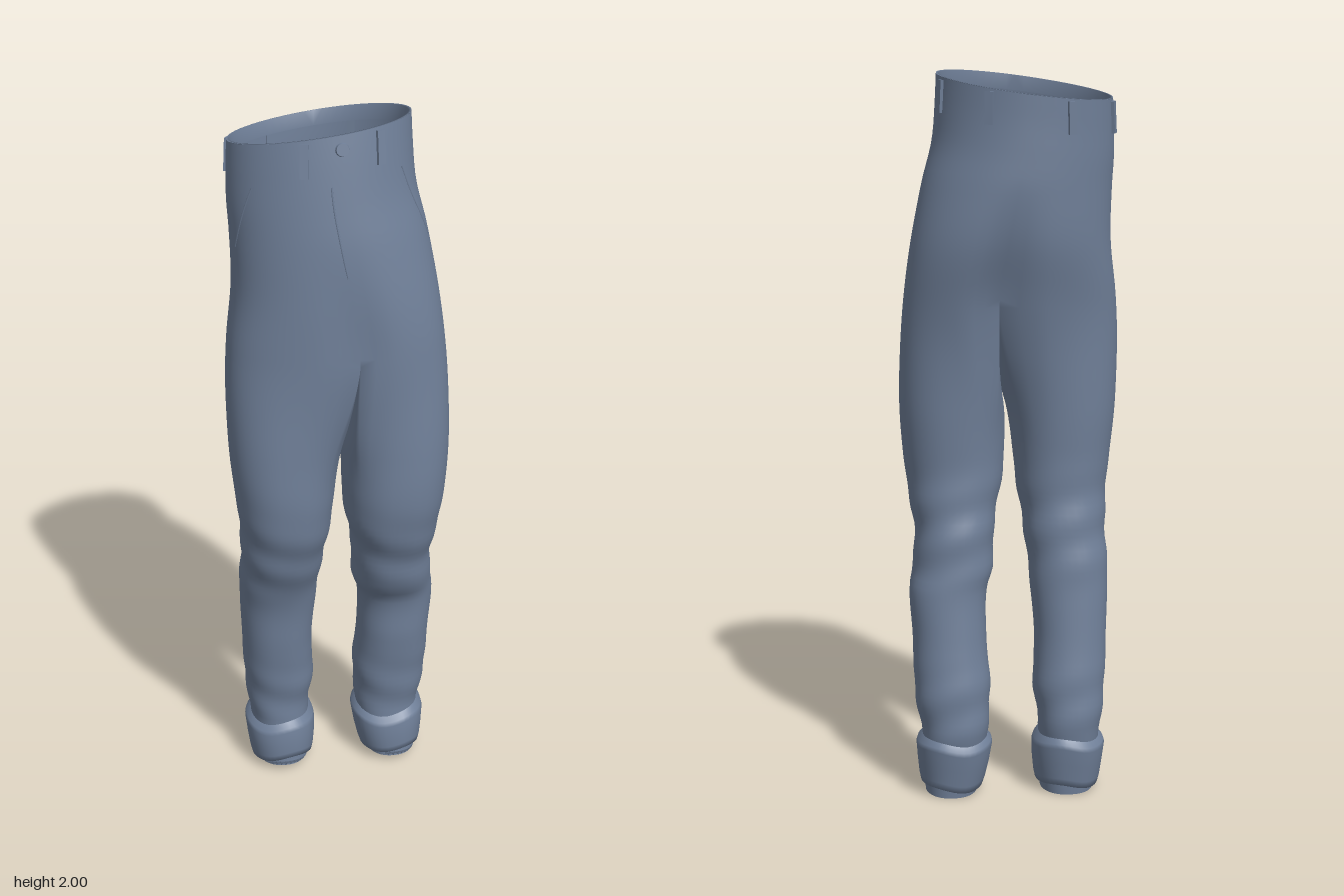
import * as THREE from 'three';
import { mergeVertices } from 'three/addons/utils/BufferGeometryUtils.js';

const cloth = new THREE.MeshStandardMaterial({ color: 0x708099, side: THREE.DoubleSide });
const { smoothstep, lerp } = THREE.MathUtils;
const ARC = 30, INNER = 12, CROTCH = 1.4;

// Smooth lookup in a table of [y, ...values], y rising
function table(rows) {
  const stride = rows[0].length - 1;
  const ip = new THREE.CubicInterpolant(rows.map(r => r[0]), rows.flatMap(r => r.slice(1)), stride, new Float32Array(stride));
  return y => Array.from(ip.evaluate(y));
}

// y, right edge, left edge, back, front, centre seam x
const hip = table([
  [0.90, -0.280, 0.285, -0.095, 0.205, 0.000],
  [1.10, -0.300, 0.300, -0.110, 0.213, 0.005],
  [1.25, -0.304, 0.297, -0.130, 0.215, 0.025],
  [1.40, -0.295, 0.285, -0.160, 0.215, 0.035],
  [1.55, -0.277, 0.265, -0.195, 0.212, 0.015],
  [1.70, -0.278, 0.235, -0.205, 0.200, -0.010],
  [1.80, -0.282, 0.208, -0.206, 0.185, -0.025],
  [1.90, -0.280, 0.199, -0.207, 0.168, -0.030],
  [1.97, -0.276, 0.196, -0.210, 0.155, -0.030],
]);

// y, outer |x|, inner |x|, back, front
const legs = {
  '1': table([
    [0.00, 0.240, 0.095, -0.125, 0.065],
    [0.10, 0.245, 0.075, -0.135, 0.060],
    [0.18, 0.250, 0.065, -0.150, 0.055],
    [0.30, 0.268, 0.057, -0.150, 0.066],
    [0.45, 0.272, 0.066, -0.133, 0.086],
    [0.60, 0.278, 0.060, -0.120, 0.102],
    [0.635, 0.270, 0.046, -0.118, 0.125],
    [0.75, 0.264, 0.042, -0.110, 0.160],
    [0.90, 0.285, 0.014, -0.095, 0.203],
    [1.10, 0.300, 0.010, -0.110, 0.213],
    [1.40, 0.285, 0.036, -0.160, 0.215],
  ]),
  '-1': table([
    [0.00, 0.235, 0.085, -0.125, 0.065],
    [0.10, 0.245, 0.080, -0.135, 0.060],
    [0.18, 0.252, 0.080, -0.150, 0.055],
    [0.30, 0.265, 0.066, -0.150, 0.066],
    [0.45, 0.271, 0.070, -0.133, 0.086],
    [0.60, 0.276, 0.058, -0.120, 0.106],
    [0.68, 0.275, 0.052, -0.115, 0.135],
    [0.80, 0.272, 0.035, -0.100, 0.180],
    [0.90, 0.281, 0.022, -0.095, 0.205],
    [1.10, 0.300, 0.002, -0.110, 0.213],
    [1.40, 0.295, -0.034, -0.160, 0.215],
  ]),
};

// Point on one half of the hips; t runs 0 (front centre) to PI (back centre)
function hipPoint(side, t, y, inset = 0) {
  const [x0, x1, zb, zf, seam] = hip(y);
  const p = lerp(0.82, 1, smoothstep(y, 1.4, 1.9));
  const rx = (side > 0 ? x1 - seam : seam - x0) - inset, rz = (zf - zb) / 2 - inset;
  const sx = Math.pow(Math.max(0, Math.sin(t)), p), c = Math.cos(t);
  const x = seam + side * rx * sx;
  // Dip along the centre seam, deeper at the back
  const dent = (c < 0 ? 0.2 : 0.08) * (1 - smoothstep(y, 1.35, 1.72)) * Math.exp(-(((x - seam) / 0.06) ** 2));
  const z = (zf + zb) / 2 + rz * Math.sign(c) * Math.pow(Math.abs(c), p) * (1 - dent);
  const tilt = 0.13 * (x + z) * smoothstep(y, 1.6, 1.97);
  return new THREE.Vector3(x, y + tilt, z);
}

// Closed leg section, blending from half a hip to a rounded tube; grow widens it
function legRing(side, y, grow = 0) {
  const [out, inn, zb, zf] = legs[side](y);
  const round = smoothstep(1.4 - y, 0, 0.42), pts = [];
  const fold = smoothstep(y, 0.12, 0.22) * (1 - smoothstep(y, 0.25, 0.42))
    + Math.exp(-(((y - 0.76) / 0.12) ** 2));
  const front = hipPoint(side, 0, Math.max(y, 0.9)), back = hipPoint(side, Math.PI, Math.max(y, 0.9));
  for (let j = 0; j <= ARC + INNER; j++) {
    const inner = j > ARC, s = inner ? (j - ARC) / INNER : j / ARC;
    const a = inner ? -Math.PI * (0.75 + 0.5 * s) : Math.PI * (0.75 - 1.5 * s);
    const k = 1 + 0.03 * fold * Math.sin(45 * y + 2 * Math.sin(a + side) + side);
    const ca = Math.cos(a), sa = Math.sin(a), q = v => Math.sign(v) * Math.pow(Math.abs(v), 0.9);
    const tube = new THREE.Vector3(
      side * ((out + inn) / 2 + ((out - inn) / 2 * k + grow) * q(ca)), y,
      (zf + zb) / 2 + ((zf - zb) / 2 * k + grow) * q(sa));
    const half = inner ? back.clone().lerp(front, s) : hipPoint(side, s * Math.PI, Math.max(y, 0.9));
    half.y = y;
    const v = half.lerp(tube, round);
    if (inner) v.y -= 0.13 * Math.sin(Math.PI * s) * smoothstep(y, 0.95, 1.4);
    pts.push(v);
  }
  return pts;
}

// Skin a list of sections (top to bottom) into the shared position and index lists
function skin(pos, idx, rows, side) {
  const n = rows[0].length, base = pos.length / 3;
  rows.forEach(r => r.forEach(v => pos.push(v.x, v.y, v.z)));
  for (let i = 0; i < rows.length - 1; i++) for (let j = 0; j < n - 1; j++) {
    const a = base + i * n + j, b = a + 1, c = a + n, d = c + 1;
    if (side > 0) idx.push(a, c, b, b, c, d);
    else idx.push(a, b, c, b, d, c);
  }
}

function clothMesh(name, pos, idx) {
  let g = new THREE.BufferGeometry();
  g.setAttribute('position', new THREE.Float32BufferAttribute(pos, 3));
  g.setIndex(idx);
  g = mergeVertices(g, 1e-4);
  g.computeVertexNormals();
  const m = new THREE.Mesh(g, cloth);
  m.name = name;
  return m;
}

const hipRow = (side, y, inset = 0) => Array.from({ length: ARC + 1 }, (_, j) => hipPoint(side, j / ARC * Math.PI, y, inset));

// Stitched line lying on the hips between two [t, y] ends
function seamLine(name, side, from, to) {
  const pts = Array.from({ length: 7 }, (_, i) =>
    hipPoint(side, lerp(from[0], to[0], i / 6), lerp(from[1], to[1], i / 6), 0.001));
  const m = new THREE.Mesh(new THREE.TubeGeometry(new THREE.CatmullRomCurve3(pts), 16, 0.003, 6), cloth);
  m.name = name;
  return m;
}

// Turn a part so its +z points out of the hips at (side, t)
function faceOut(obj, side, t, y) {
  const p = hipPoint(side, t, y), up = hipPoint(side, t, y + 0.03).sub(p).normalize();
  const along = hipPoint(side, t + 0.04, y).sub(hipPoint(side, t - 0.04, y)).multiplyScalar(side).normalize();
  const n = along.clone().cross(up).normalize();
  obj.quaternion.setFromRotationMatrix(new THREE.Matrix4().makeBasis(up.clone().cross(n), up, n));
  obj.position.copy(p).addScaledVector(n, 0.003);
}

export function createModel() {
  const model = new THREE.Group();
  model.name = 'trousers';

  // Hips and both legs as one continuous cloth
  const pos = [], idx = [], hemPos = [], hemIdx = [];
  for (const side of [1, -1]) {
    const hips = [], leg = [];
    for (let i = 0; i <= 22; i++) hips.push(hipRow(side, lerp(1.97, CROTCH, i / 22)));
    for (let i = 0; i <= 70; i++) leg.push(legRing(side, lerp(CROTCH, 0, i / 70)));
    leg[70].forEach(v => { v.y += 0.3 * Math.max(0, v.z + 0.05); });
    skin(pos, idx, hips, side);
    skin(pos, idx, leg, side);
    skin(hemPos, hemIdx, [hipRow(side, 1.93, 0.009), hipRow(side, 1.971, 0.007), hipRow(side, 1.971)], side);
  }
  model.add(clothMesh('trouserCloth', pos, idx), clothMesh('waistHem', hemPos, hemIdx));

  // Turned-up cuffs
  for (const side of [1, -1]) {
    const p = [], ix = [];
    const rows = [[0.165, 0], [0.15, 0.014], [0.138, 0.018], [0.09, 0.017], [0.045, 0.015], [0.025, 0.012], [0.03, 0.002]];
    skin(p, ix, rows.map(([y, g]) => legRing(side, y, g).map(v => {
      v.y += 0.25 * Math.max(0, v.z + 0.02) * (1 - smoothstep(y, 0.02, 0.15)) + 0.008 * Math.sin(v.x * 30 + side);
      return v;
    })), side);
    model.add(clothMesh(side > 0 ? 'leftCuff' : 'rightCuff', p, ix));
  }

  // Belt loops round the waist
  for (const [side, t] of [[1, 0.56], [1, 1.9], [1, 2.7], [-1, 0.29], [-1, 1.85], [-1, 2.65]]) {
    const loop = new THREE.Mesh(new THREE.BoxGeometry(0.022, 0.085, 0.01), cloth);
    loop.name = 'beltLoop';
    faceOut(loop, side, t, 1.92);
    model.add(loop);
  }

  // Button, fly and slanted pockets
  const button = new THREE.Mesh(new THREE.CylinderGeometry(0.016, 0.018, 0.008, 16).rotateX(Math.PI / 2), cloth);
  button.name = 'button';
  faceOut(button, 1, 0.1, 1.935);
  model.add(button);
  model.add(seamLine('flySeam', -1, [0.03, 1.85], [0.0, 1.63]));
  model.add(seamLine('leftPocket', 1, [0.9, 1.86], [1.3, 1.68]));
  model.add(seamLine('rightPocket', -1, [0.9, 1.86], [1.3, 1.68]));
  return model;
}
